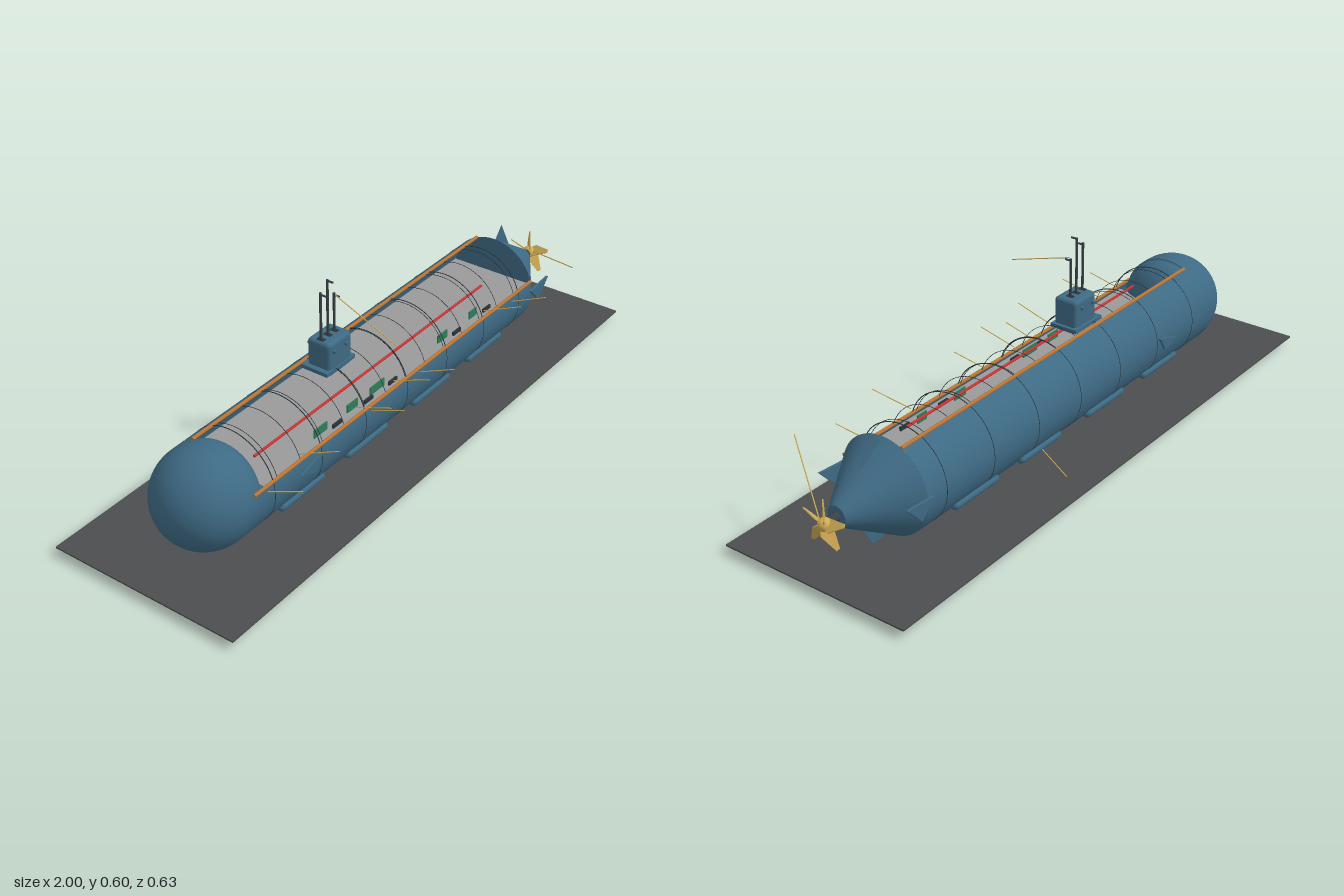
import * as THREE from 'three';
import { RoundedBoxGeometry } from 'three/addons/geometries/RoundedBoxGeometry.js';

const mat = (name, color) => {
  const m = new THREE.MeshStandardMaterial({ color });
  m.name = name;
  return m;
};

export function createModel() {
  const root = new THREE.Group();
  const blue = mat('hullBlue', 0x3e6a84), slate = mat('baseGrey', 0x4b4d4e), gold = mat('brass', 0xd0ab55),
    copper = mat('copperTrim', 0xb87333), dark = mat('darkSteel', 0x2a343a), grate = mat('deckGrey', 0x9a9a9a),
    red = mat('pipeRed', 0xcc3030), green = mat('consoleGreen', 0x2f7d5c), steel = mat('mastGrey', 0x3b4046);
  const CY = 0.1835, R = 0.152, RI = 0.147, D = Math.PI / 180;

  const add = (name, geo, m, x = 0, y = 0, z = 0, parent = root) => {
    const mesh = new THREE.Mesh(geo, m);
    mesh.name = name;
    mesh.position.set(x, y, z);
    parent.add(mesh);
    return mesh;
  };
  const box = (name, w, h, d, m, x, y, z) => add(name, new THREE.BoxGeometry(w, h, d), m, x, y, z);
  // Surface of revolution about the boat's long axis; points are [radius, x],
  // angles run from straight up towards +z
  const turned = (name, pts, m, from = 0, sweep = 360) => {
    const g = new THREE.LatheGeometry(pts.map(p => new THREE.Vector2(p[0], p[1])), 64, (from - 90) * D, sweep * D);
    return add(name, g.rotateZ(-Math.PI / 2), m, 0, CY, 0);
  };
  // Thin rod between two points
  const rod = (name, a, b, r, m) => {
    const p = new THREE.Vector3(...a), q = new THREE.Vector3(...b), dir = q.clone().sub(p);
    const mesh = add(name, new THREE.CylinderGeometry(r, r, dir.length(), 16), m);
    mesh.position.copy(p).add(q).multiplyScalar(0.5);
    mesh.quaternion.setFromUnitVectors(new THREE.Vector3(0, 1, 0), dir.normalize());
    return mesh;
  };
  // Flat plate from an outline, centred on its thickness
  const plate = (pts, t) => new THREE.ExtrudeGeometry(new THREE.Shape(pts.map(p => new THREE.Vector2(p[0], p[1]))),
    { depth: t, bevelEnabled: false }).translate(0, 0, -t / 2);
  // Quarter-ellipse profile from the axis out to the rim
  const dome = (r, x, bulge) => [...Array(25)].map((_, i) =>
    [Math.max(r * Math.sin(i * 3.75 * D), 0.0001), x + bulge * Math.cos(i * 3.75 * D)]);

  // Display base
  box('base', 2, 0.005, 0.63, slate, 0, 0.0265, 0);

  // Pressure hull, open along the upper front
  const cutA = 74, cutB = 335, X0 = -0.7, X1 = 0.7;
  turned('hullOuter', [[R, X0], [R, X1]], blue, cutA, cutB - cutA);
  turned('hullInner', [[RI, X1], [RI, X0]], blue, cutA, cutB - cutA);

  // Bow dome and the domed bulkhead behind it
  turned('bowDome', [...dome(R, -0.735, -R), [R, X0]], blue);
  turned('bowBulkhead', [[R, X0], ...dome(RI, X0, 0.1).reverse()], blue);

  // Tail cone, closed at both ends
  turned('tailCone', [[R, X1], [0.032, 0.89]], blue);
  turned('tailCap', [[0.032, 0.89], [0.0001, 0.89]], blue);
  turned('sternBulkhead', [[0.0001, X1], [R, X1]], blue);

  // Trim rails along both edges of the opening
  [cutA, cutB].forEach(a => {
    const y = CY + R * Math.cos(a * D), z = R * Math.sin(a * D);
    rod('openingRail', [X0, y, z], [X1, y, z], 0.0055, copper);
  });

  // Hull seams and the thin frames crossing the opening
  for (let i = 0; i < 7; i++) {
    const x = -0.62 + i * 0.207;
    const seam = add('hullSeam', new THREE.TorusGeometry(0.1515, 0.0014, 6, 64), dark, x, CY, 0);
    seam.rotation.y = Math.PI / 2;
  }
  for (let i = 0; i < 13; i++) {
    const frame = add('frame', new THREE.TorusGeometry(0.149, 0.0009, 5, 64), dark, -0.6 + i * 0.1, CY, 0);
    frame.rotation.y = Math.PI / 2;
  }

  // Interior deck, pipe and equipment
  box('deck', 1.34, 0.002, 0.288, grate, 0.03, 0.214, 0);
  rod('redPipe', [-0.6, 0.262, 0.065], [0.53, 0.262, 0.065], 0.004, red);
  [[-0.36, 0.06], [-0.21, 0.05], [-0.09, 0.07], [0.25, 0.05], [0.42, 0.04]].forEach(([x, w]) => {
    box('console', w, 0.026, 0.004, green, x, 0.228, 0.105);
    box('bench', 0.04, 0.012, 0.006, dark, x + 0.06, 0.221, 0.118);
  });

  // Sail with base plate, side pegs and hatches
  box('sailBase', 0.134, 0.012, 0.094, blue, -0.181, 0.324, -0.003);
  add('sail', new RoundedBoxGeometry(0.108, 0.11, 0.08, 4, 0.012), blue, -0.178, 0.36, 0);
  for (const x of [-0.21, -0.155])
    rod('sailPeg', [x, 0.387, -0.05], [x, 0.387, 0.05], 0.006, blue);
  [[-0.216, 0.568, 0.562], [-0.184, 0.595, 0.592], [-0.154, 0.538, 0.532]].forEach(([x, top, head]) => {
    box('sailHatch', 0.014, 0.003, 0.024, dark, x, 0.415, 0);
    rod('mast', [x, 0.41, 0], [x, top, 0], 0.004, steel);
    rod('mastHead', [x, head, 0], [x, head, 0.02], 0.003, steel);
  });

  // Side pods with feet
  for (const s of [-1, 1]) for (const x of [-0.47, -0.165, 0.165, 0.465]) {
    const pod = add('sidePod', new THREE.CapsuleGeometry(0.014, 0.172, 6, 16), blue, x, 0.088, s * 0.119);
    pod.rotation.z = Math.PI / 2;
    rod('podFoot', [x, 0.067, s * 0.116], [x, 0.08, s * 0.116], 0.003, dark);
  }

  // Bow planes and stern fins
  const bowPlane = [[-0.51, 0.183], [-0.45, 0.16], [-0.42, 0.208]];
  const sternPlane = [[0.685, 0.2], [0.735, 0.148], [0.79, 0.208]];
  for (const s of [-1, 1]) {
    add('bowPlane', plate(bowPlane, 0.008), blue, 0, 0, s * 0.156);
    add('sternPlane', plate(sternPlane, 0.008), blue, 0, 0, s * 0.156);
    const fin = [[0.7, 0.13], [0.745, 0.1835], [0.8, 0.085]].map(([x, y]) => [x, CY + s * y]);
    add('rudder', plate(fin, 0.001), blue);
  }

  // Shaft and five-bladed propeller
  rod('shaft', [0.86, CY, 0], [0.935, CY, 0], 0.014, steel);
  const prop = new THREE.Group();
  prop.name = 'propeller';
  prop.position.set(0.935, CY, 0);
  root.add(prop);
  add('hub', new THREE.SphereGeometry(0.02, 24, 16), gold, 0, 0, 0, prop);
  for (let i = 0; i < 5; i++) {
    const arm = new THREE.Group();
    arm.rotation.x = i * 72 * D;
    prop.add(arm);
    const blade = add('blade', plate([[-0.018, 0.01], [0.018, 0.01], [0.024, 0.024], [0.006, 0.076], [-0.005, 0.074]], 0.003),
      gold, 0, 0, 0, arm);
    blade.rotation.y = 40 * D;
  }

  // Thin brass pointers: start x, end x, end height
  [[-0.65, -0.63, 0.247], [-0.5, -0.47, 0.283], [-0.237, -0.23, 0.29], [-0.178, -0.167, 0.247],
    [-0.055, -0.04, 0.283], [0.063, 0.09, 0.25], [0.426, 0.458, 0.286], [0.58, 0.613, 0.245]]
    .forEach(([x, end, y]) => rod('pointer', [x, y - 0.04, 0.14], [end, y, 0.255], 0.0015, gold));
  rod('pointer', [0.94, 0.187, 0.01], [0.77, 0.283, 0.258], 0.0017, gold);
  rod('pointer', [-0.16, 0.537, 0.01], [-0.18, 0.463, 0.238], 0.0015, gold);
  rod('pointer', [0.165, 0.085, -0.125], [0.19, 0.04, -0.235], 0.0015, gold);

  return root;
}
